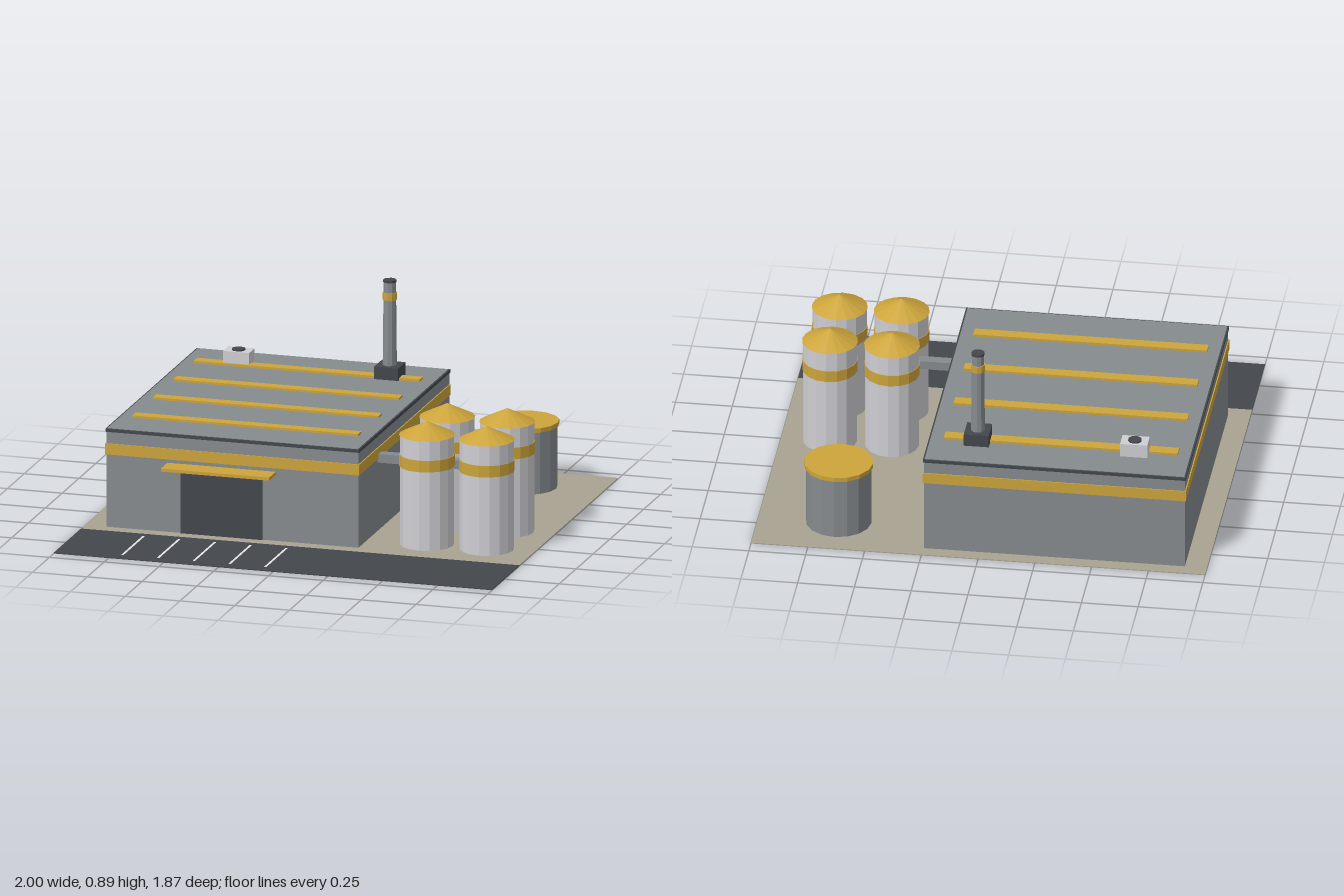
import * as THREE from 'three';

const mat = (name, color) => {
  const m = new THREE.MeshStandardMaterial({ color });
  m.name = name;
  m.flatShading = true;
  return m;
};

export function createModel() {
  const gray = mat('wall gray', 0x868b8e);
  const dark = mat('charcoal', 0x43474d);
  const gold = mat('gold', 0xcca43b);
  const silver = mat('silver', 0xcfcfd4);
  const sand = mat('sand', 0xa8a290);
  const white = mat('line white', 0xe6e6e6);

  const model = new THREE.Group();
  model.name = 'factory';

  const add = (parent, name, geometry, material) => {
    const mesh = new THREE.Mesh(geometry, material);
    mesh.name = name;
    parent.add(mesh);
    return mesh;
  };
  // Box given by its limits on each axis
  const box = (name, material, [x0, x1], [y0, y1], [z0, z1], parent = model) => {
    const g = new THREE.BoxGeometry(x1 - x0, y1 - y0, z1 - z0);
    g.translate((x0 + x1) / 2, (y0 + y1) / 2, (z0 + z1) / 2);
    return add(parent, name, g, material);
  };
  // Upright cylinder around the origin of its parent
  const drum = (parent, name, material, rTop, rBottom, y0, y1, sides = 16) => {
    const g = new THREE.CylinderGeometry(rTop, rBottom, y1 - y0, sides);
    g.translate(0, (y0 + y1) / 2, 0);
    return add(parent, name, g, material);
  };
  const groupAt = (name, x, z) => {
    const g = new THREE.Group();
    g.name = name;
    g.position.set(x, 0, z);
    model.add(g);
    return g;
  };

  // Ground and parking strip
  const base = 0.004;
  box('yard', sand, [-1, 1], [0, base], [-0.935, 0.53]);
  box('parkingLot', dark, [-1, 1], [0, base], [0.53, 0.935]);
  for (let i = 0; i < 5; i++) {
    const x = -0.702 + i * 0.163;
    box('parkingLine', white, [x - 0.005, x + 0.005], [base, base + 0.002], [0.57, 0.885]);
  }

  // Main hall with painted band and roof
  box('hallWalls', gray, [-0.903, 0.247], [base, 0.435], [-0.876, 0.469]);
  box('hallBand', gold, [-0.908, 0.252], [0.333, 0.382], [-0.881, 0.474]);
  box('roofTrim', dark, [-0.907, 0.251], [0.435, 0.449], [-0.88, 0.473]);
  box('roofDeck', gray, [-0.9, 0.244], [0.445, 0.451], [-0.873, 0.466]);
  for (let i = 0; i < 4; i++) {
    const z = -0.665 + i * 0.305;
    box('roofStrip', gold, [-0.845, 0.185], [0.451, 0.461], [z - 0.026, z + 0.026]);
  }

  // Loading door and canopy
  box('loadingDoor', dark, [-0.564, -0.19], [base, 0.275], [0.469, 0.476]);
  box('doorCanopy', gold, [-0.625, -0.13], [0.303, 0.317], [0.469, 0.567]);

  // Roof fan unit
  box('fanHousing', silver, [-0.717, -0.597], [0.451, 0.513], [-0.732, -0.652]);
  drum(groupAt('roofFan', -0.657, -0.692), 'fanDisc', dark, 0.03, 0.03, 0.51, 0.519, 10);

  // Chimney
  const chimney = groupAt('chimney', 0.036, -0.68);
  box('chimneyBase', dark, [-0.055, 0.055], [0.451, 0.507], [-0.055, 0.055], chimney);
  drum(chimney, 'chimneyStack', gray, 0.027, 0.031, 0.507, 0.882, 10);
  drum(chimney, 'chimneyBand', gold, 0.032, 0.032, 0.803, 0.835, 10);
  drum(chimney, 'chimneyCap', dark, 0.029, 0.029, 0.882, 0.892, 10);

  // Silos
  for (const x of [0.513, 0.786]) {
    for (const z of [0.015, 0.317]) {
      const silo = groupAt('silo', x, z);
      drum(silo, 'siloBody', silver, 0.119, 0.119, base, 0.5);
      drum(silo, 'siloBand', gold, 0.122, 0.122, 0.36, 0.412);
      const cone = new THREE.ConeGeometry(0.123, 0.06, 16);
      cone.translate(0, 0.53, 0);
      add(silo, 'siloRoof', cone, gold);
    }
  }
  box('feedPipe', gray, [0.247, 0.647], [0.315, 0.354], [0.143, 0.19]);

  // Storage tank
  const tank = groupAt('storageTank', 0.648, -0.69);
  drum(tank, 'tankBody', gray, 0.144, 0.144, base, 0.284);
  drum(tank, 'tankLid', gold, 0.152, 0.152, 0.284, 0.304);

  return model;
}
